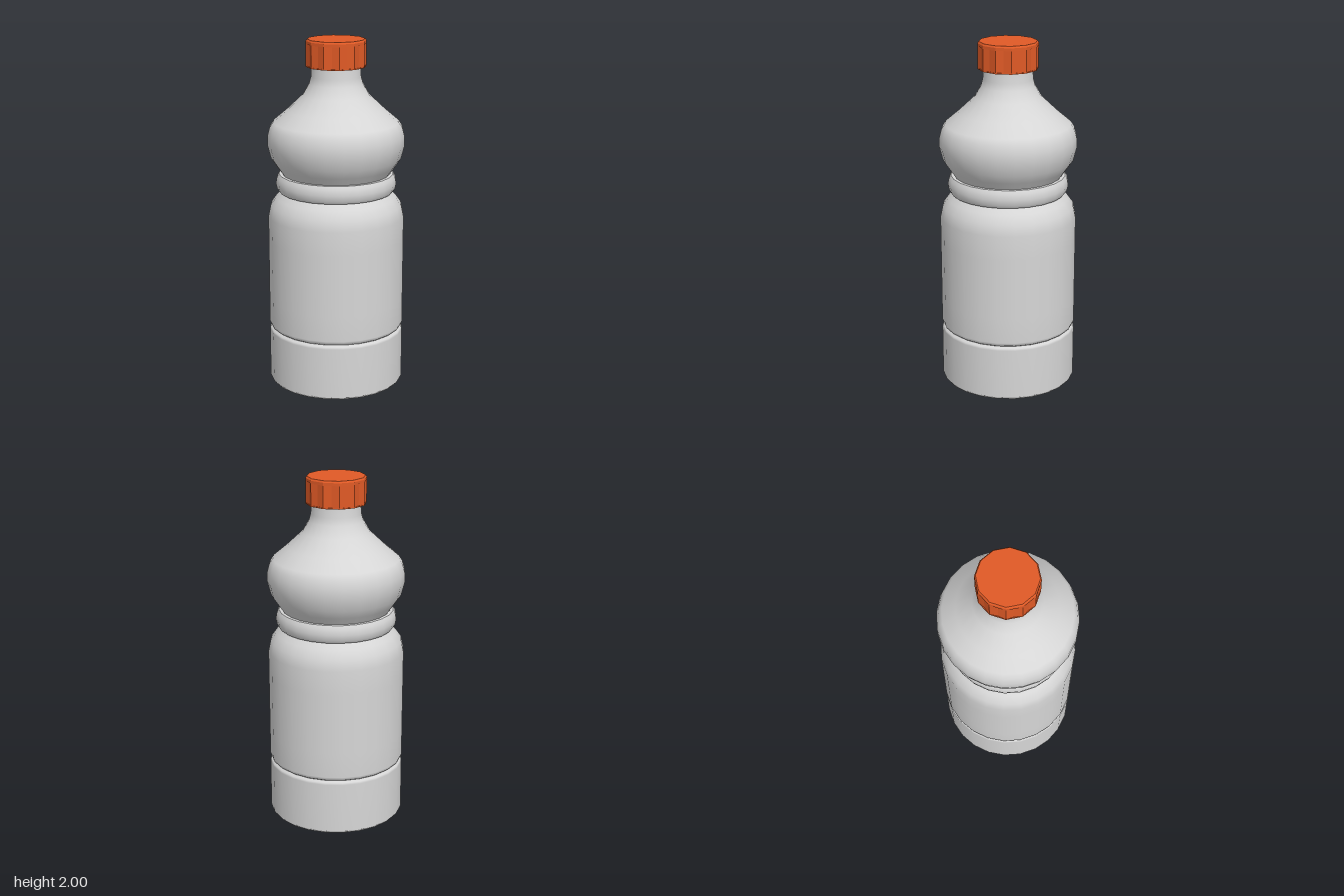
import * as THREE from 'three';

const plastic = new THREE.MeshStandardMaterial({ color: 0xd6d6d6 });
plastic.name = 'greyPlastic';
const orange = new THREE.MeshStandardMaterial({ color: 0xe05a26 });
orange.name = 'orangePlastic';

// Turned part from [radius, height] pairs, listed from bottom to top
function turned(name, pairs, sides, material) {
  const points = pairs.map(([r, y]) => new THREE.Vector2(r, y));
  const mesh = new THREE.Mesh(new THREE.LatheGeometry(points, sides), material);
  mesh.name = name;
  return mesh;
}

function facet(mesh) {
  mesh.geometry = mesh.geometry.toNonIndexed();
  mesh.geometry.computeVertexNormals();
  return mesh;
}

export function createModel() {
  const bottle = new THREE.Group();
  bottle.name = 'bottle';

  // Body, split where the edges are sharp
  const sections = {
    underside: [[0, 0], [0.382, 0]],
    baseEdge: [[0.382, 0], [0.39, 0.012]],
    base: [[0.39, 0.012], [0.39, 0.305], [0.386, 0.317], [0.372, 0.326]],
    lowerBody: [[0.372, 0.326], [0.384, 0.335], [0.39, 0.352], [0.39, 0.5], [0.39, 0.85],
      [0.39, 0.99], [0.376, 1.055], [0.343, 1.1], [0.308, 1.135]],
    waistLowerLip: [[0.308, 1.135], [0.327, 1.135]],
    waistRing: [[0.327, 1.135], [0.339, 1.153], [0.345, 1.185], [0.339, 1.217], [0.327, 1.237]],
    waistUpperLip: [[0.327, 1.237], [0.308, 1.237]],
    shoulder: [[0.308, 1.237], [0.337, 1.28], [0.371, 1.33], [0.39, 1.405], [0.389, 1.46],
      [0.377, 1.505], [0.357, 1.535], [0.28, 1.6], [0.19, 1.685], [0.153, 1.75],
      [0.142, 1.79], [0.138, 1.86]],
  };
  for (const [name, pairs] of Object.entries(sections)) {
    bottle.add(turned(name, pairs, 24, plastic));
  }

  // Cap: twelve-sided rim and top over a fluted grip
  const cap = new THREE.Group();
  cap.name = 'cap';
  cap.add(facet(turned('capTop', [[0.155, 1.972], [0.17, 1.974], [0.17, 1.99], [0.163, 2], [0, 2]], 12, orange)));
  cap.add(facet(turned('capUnderside', [[0.13, 1.846], [0.17, 1.846], [0.17, 1.852], [0.155, 1.852]], 12, orange)));

  const grip = new THREE.Mesh(new THREE.CylinderGeometry(1, 1, 0.126, 24, 1, true), orange);
  grip.name = 'capGrip';
  const p = grip.geometry.attributes.position;
  for (let i = 0; i < p.count; i++) {
    const r = i % 25 % 2 === 0 ? 0.17 : 0.159;
    p.setXYZ(i, p.getX(i) * r, p.getY(i) + 1.912, p.getZ(i) * r);
  }
  cap.add(facet(grip));
  bottle.add(cap);
  return bottle;
}
